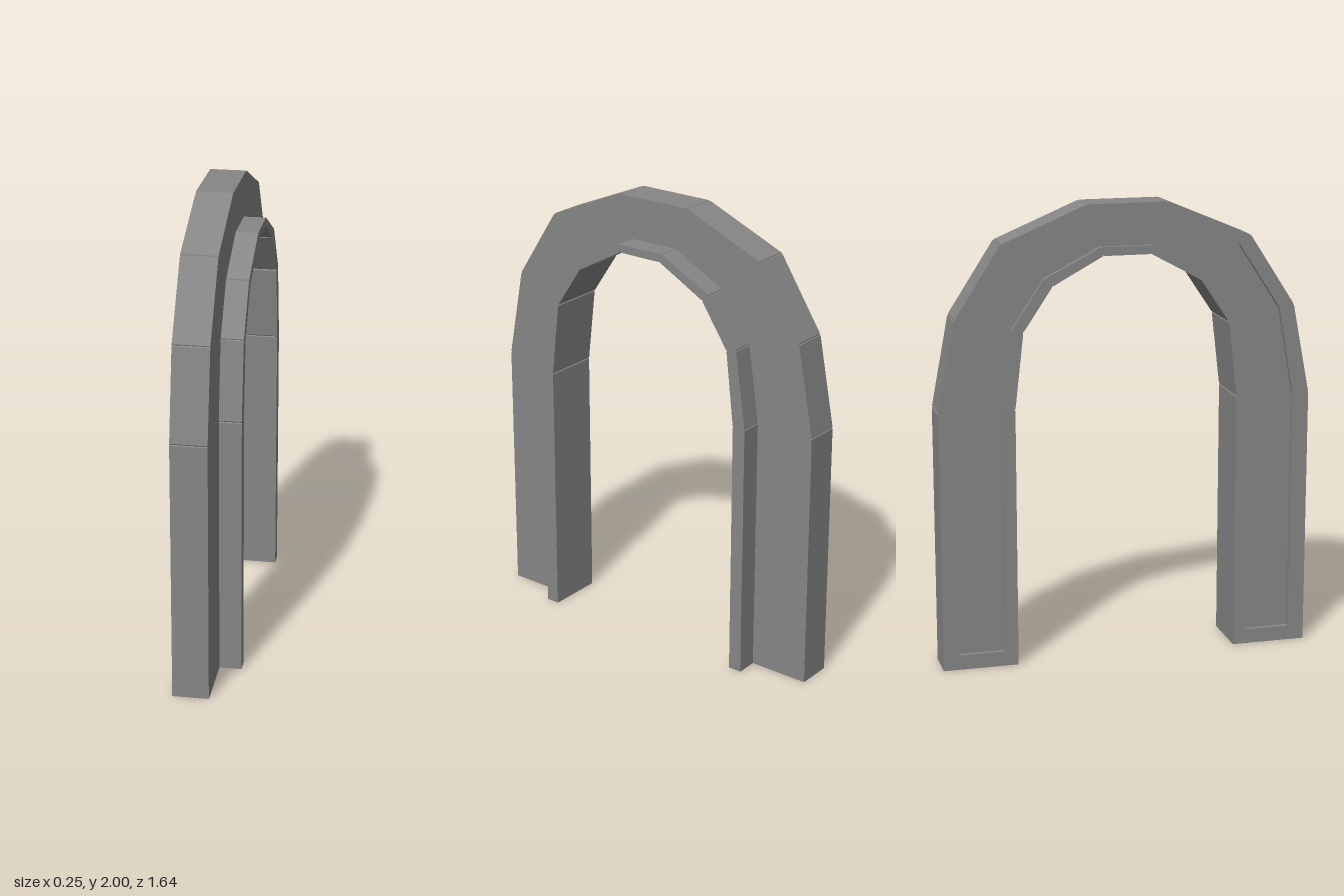
import * as THREE from 'three';

// Half profiles of the arch as [distance from centre, height], foot to crown
const OUTER = [[0.82, 0], [0.82, 1.14], [0.745, 1.535], [0.545, 1.845], [0.175, 2]];
const INNER = [[0.49, 0], [0.49, 1.14], [0.452, 1.47], [0.325, 1.66], [0.105, 1.78]];
const LIP = [[0.55, 0], [0.55, 1.14], [0.5, 1.48], [0.36, 1.69], [0.113, 1.815]];

const BACK = -0.125, STEP = 0.03, FRONT = 0.125; // positions across the depth
const RECESS = 0.022;
const JOINT = 0.004; // half width and depth of the joint grooves

// Profile between the inner and outer edges, with its foot raised
const between = (t, foot) => INNER.map(([a, h], i) => [
  a + (OUTER[i][0] - a) * t,
  i === 0 ? foot : h + (OUTER[i][1] - h) * t,
]);

// Whole edge from foot to foot, mirrored at the crown
const fullEdge = (half) => [...half, ...half.map(([a, h]) => [-a, h]).reverse()]
  .map(([a, h]) => new THREE.Vector2(a, h));

// Move from p towards q by a distance
const towards = (p, q, distance) => q.clone().sub(p).setLength(distance).add(p);

// Cut a small groove at every corner of an edge, sunk towards the opposite edge
const grooved = (edge, opposite) => edge.flatMap((p, i) =>
  i === 0 || i === edge.length - 1 ? [p] : [
    towards(p, edge[i - 1], JOINT),
    towards(p, opposite[i], JOINT),
    towards(p, edge[i + 1], JOINT),
  ]);

// Closed horseshoe outline with grooved joints
function horseshoe(outerHalf, innerHalf) {
  const outer = fullEdge(outerHalf), inner = fullEdge(innerHalf);
  return new THREE.Shape([...grooved(outer, inner), ...grooved(inner, outer).reverse()]);
}

export function createModel() {
  const group = new THREE.Group();
  group.name = 'archway';
  const material = new THREE.MeshStandardMaterial({ color: 0x868686, flatShading: true });

  // Extrude a horseshoe from x0 to x1
  function addArch(name, shape, x0, x1) {
    const geometry = new THREE.ExtrudeGeometry(shape, { depth: x1 - x0, bevelEnabled: false });
    geometry.rotateY(Math.PI / 2).translate(x0, 0, 0);
    const mesh = new THREE.Mesh(geometry, material);
    mesh.name = name;
    group.add(mesh);
  }

  // Main casing
  addArch('archCasing', horseshoe(OUTER, INNER), BACK + RECESS, STEP);

  // Raised border that leaves a sunken panel running round the arch
  const border = horseshoe(OUTER, INNER);
  border.holes.push(new THREE.Path([
    ...fullEdge(between(0.78, 0.065)),
    ...fullEdge(between(0.17, 0.065)).reverse(),
  ]));
  addArch('panelBorder', border, BACK, BACK + RECESS);

  // Narrow lining that projects through the wall opening
  addArch('innerLining', horseshoe(LIP, INNER), STEP, FRONT);

  return group;
}
